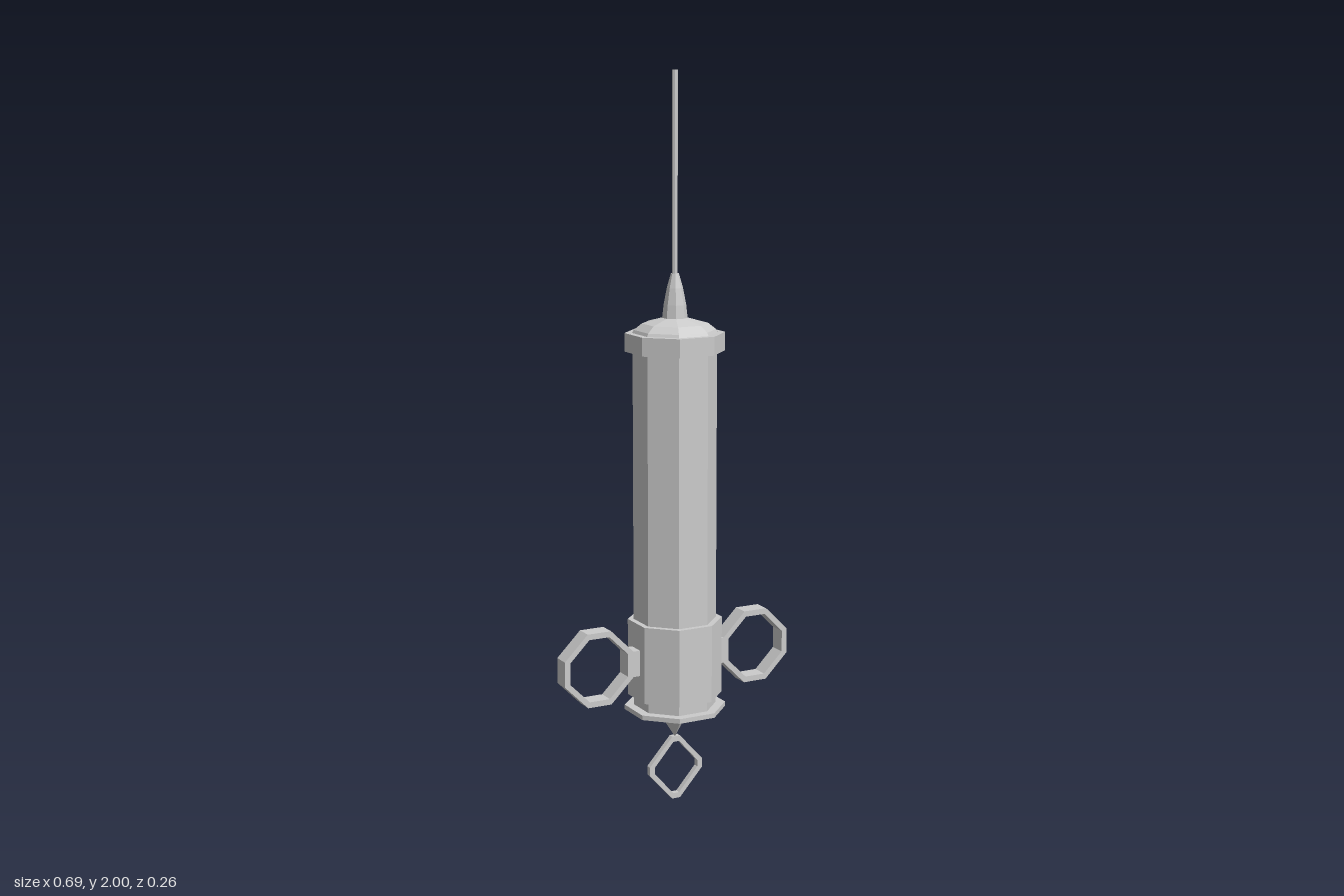
import * as THREE from 'three';

export function createModel() {
  const model = new THREE.Group();
  model.name = 'syringe';
  const material = new THREE.MeshStandardMaterial({ color: 0xcccccc, flatShading: true });
  const doubleSided = material.clone();
  doubleSided.side = THREE.DoubleSide;

  const add = (name, geometry, mat = material) => {
    const mesh = new THREE.Mesh(geometry, mat);
    mesh.name = name;
    model.add(mesh);
    return mesh;
  };

  // Eight-sided turned part with flats facing the axes; profile is [half width, y] from bottom to top
  const turned = (name, profile) => {
    const points = profile.map(([r, y]) => new THREE.Vector2(r / Math.cos(Math.PI / 8), y));
    return add(name, new THREE.LatheGeometry(points, 8, Math.PI / 8), doubleSided);
  };

  // Square outline with cut corners: w = half width, f = half length of each straight side
  const cutSquare = (w, f) => [
    [w, -f], [w, f], [f, w], [-f, w], [-w, f], [-w, -f], [-f, -w], [f, -w],
  ].map(([x, y]) => new THREE.Vector2(x, y));

  // Flat ring made from an outer and an inner cut square
  const ring = (name, outer, inner, depth, x, y) => {
    const shape = new THREE.Shape(cutSquare(...outer));
    shape.holes.push(new THREE.Path(cutSquare(...inner)));
    const geometry = new THREE.ExtrudeGeometry(shape, { depth, bevelEnabled: false });
    geometry.translate(x, y, -depth / 2);
    return add(name, geometry);
  };

  // Barrel, grip collar and bottom flange
  turned('barrel', [[0, 0.27], [0.105, 0.27], [0.105, 1.29], [0, 1.29]]);
  turned('gripCollar', [[0.105, 0.305], [0.12, 0.305], [0.12, 0.52], [0.105, 0.52]]);
  turned('bottomFlange', [[0, 0.262], [0.129, 0.262], [0.129, 0.275], [0, 0.275]]);

  // Cap with its shallow dome
  turned('cap', [[0.105, 1.26], [0.125, 1.26], [0.125, 1.31], [0.107, 1.31]]);
  turned('dome', [[0.107, 1.308], [0.102, 1.318], [0.082, 1.335], [0.03, 1.35], [0, 1.35]]);

  // Nozzle and needle
  turned('nozzle', [[0.032, 1.345], [0.028, 1.385], [0.02, 1.43], [0.01, 1.468], [0, 1.468]]);
  turned('needle', [[0.007, 1.46], [0.007, 2], [0, 2]]);

  // Finger rings and the tabs joining them to the collar
  for (const [side, s] of [['left', 1], ['right', -1]]) {
    ring(side + 'FingerRing', [0.103, 0.035], [0.087, 0.03], 0.048, s * 0.242, 0.413);
    const tab = new THREE.BoxGeometry(0.044, 0.072, 0.047);
    tab.translate(s * 0.135, 0.413, 0);
    add(side + 'RingTab', tab);
  }

  // Four-sided plunger point with the pull ring below it
  const point = new THREE.ConeGeometry(0.054, 0.085, 4);
  point.rotateX(Math.PI);
  point.translate(0, 0.22, 0);
  add('plungerPoint', point);
  const c = 0.0905;
  const pullRing = (w, f) => [
    [w, -f], [w, f], [f, w + 0.008], [-f, w + 0.008], [-w, f], [-w, -f], [-f, -w - 0.008], [f, -w - 0.008],
  ].map(([x, y]) => new THREE.Vector2(x, y));
  const pullShape = new THREE.Shape(pullRing(0.0825, 0.012));
  pullShape.holes.push(new THREE.Path(pullRing(0.067, 0.009)));
  const pull = new THREE.ExtrudeGeometry(pullShape, { depth: 0.016, bevelEnabled: false });
  pull.translate(0, c, -0.008);
  add('pullRing', pull);

  return model;
}
